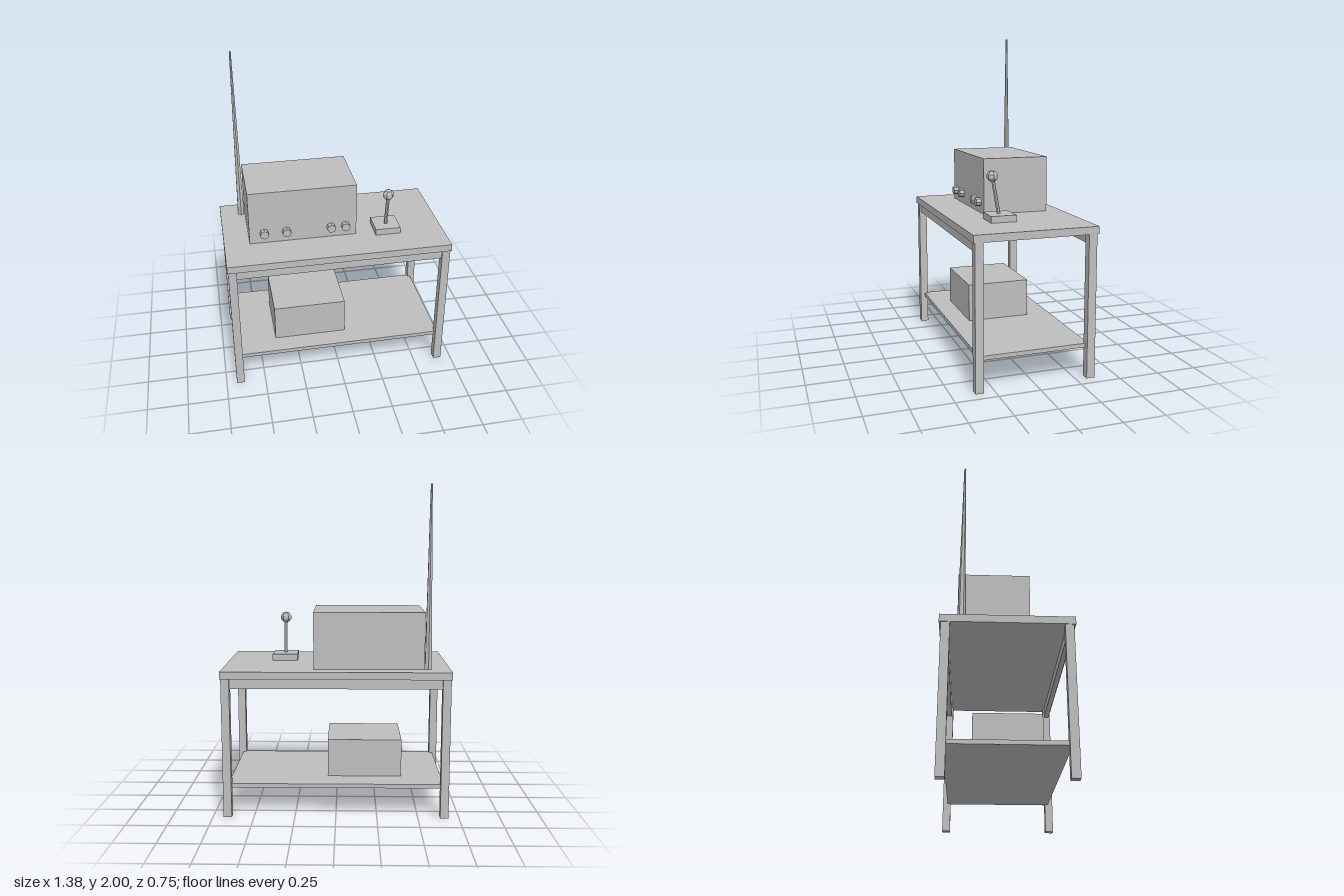
import * as THREE from 'three';

export function createModel() {
  const group = new THREE.Group();
  const grey = new THREE.MeshStandardMaterial({ color: 0xbebebe, flatShading: true });
  grey.name = 'grey';

  const add = (name, geometry, x = 0, y = 0, z = 0) => {
    const mesh = new THREE.Mesh(geometry, grey);
    mesh.name = name;
    mesh.position.set(x, y, z);
    group.add(mesh);
    return mesh;
  };
  // Box given by its minimum and maximum corners
  const box = (name, [x0, y0, z0], [x1, y1, z1]) =>
    add(name, new THREE.BoxGeometry(x1 - x0, y1 - y0, z1 - z0),
      (x0 + x1) / 2, (y0 + y1) / 2, (z0 + z1) / 2);

  // Table
  box('tableTop', [-0.69, 0.86, -0.375], [0.69, 0.905, 0.375]);
  box('lowerShelf', [-0.655, 0.18, -0.335], [0.655, 0.205, 0.335]);
  for (const sz of [-1, 1]) {
    for (const sx of [-1, 1])
      add('tableLeg', new THREE.BoxGeometry(0.05, 0.86, 0.05), sx * 0.66, 0.43, sz * 0.34);
    add('apron', new THREE.BoxGeometry(1.28, 0.06, 0.03), 0, 0.83, sz * 0.34);
  }

  // Box stored on the lower shelf
  box('storageBox', [-0.407, 0.205, -0.183], [0.053, 0.44, 0.21]);

  // Radio with a row of knobs and a tall aerial behind its right corner
  box('radioCabinet', [-0.533, 0.905, -0.278], [0.136, 1.25, 0.137]);
  for (const x of [-0.442, -0.304, -0.026, 0.066])
    add('radioKnob', new THREE.CylinderGeometry(0.027, 0.027, 0.035, 8), x, 0.975, 0.153)
      .rotation.x = Math.PI / 2;
  add('aerial', new THREE.CylinderGeometry(0.006, 0.023, 1.095, 6), -0.556, 1.4525, -0.255);

  // Desk microphone: base, leaning stem and faceted head
  box('microphoneBase', [0.254, 0.905, 0.022], [0.412, 0.945, 0.181]);
  const foot = new THREE.Vector3(0.333, 0.935, 0.107);
  const head = new THREE.Vector3(0.333, 1.17, 0.148);
  const lean = head.clone().sub(foot);
  const stem = add('microphoneStem', new THREE.CylinderGeometry(0.011, 0.011, lean.length(), 6));
  stem.position.copy(foot).add(head).multiplyScalar(0.5);
  stem.quaternion.setFromUnitVectors(new THREE.Vector3(0, 1, 0), lean.normalize());
  add('microphoneHead', new THREE.SphereGeometry(0.035, 6, 5), head.x, head.y, head.z);

  return group;
}
